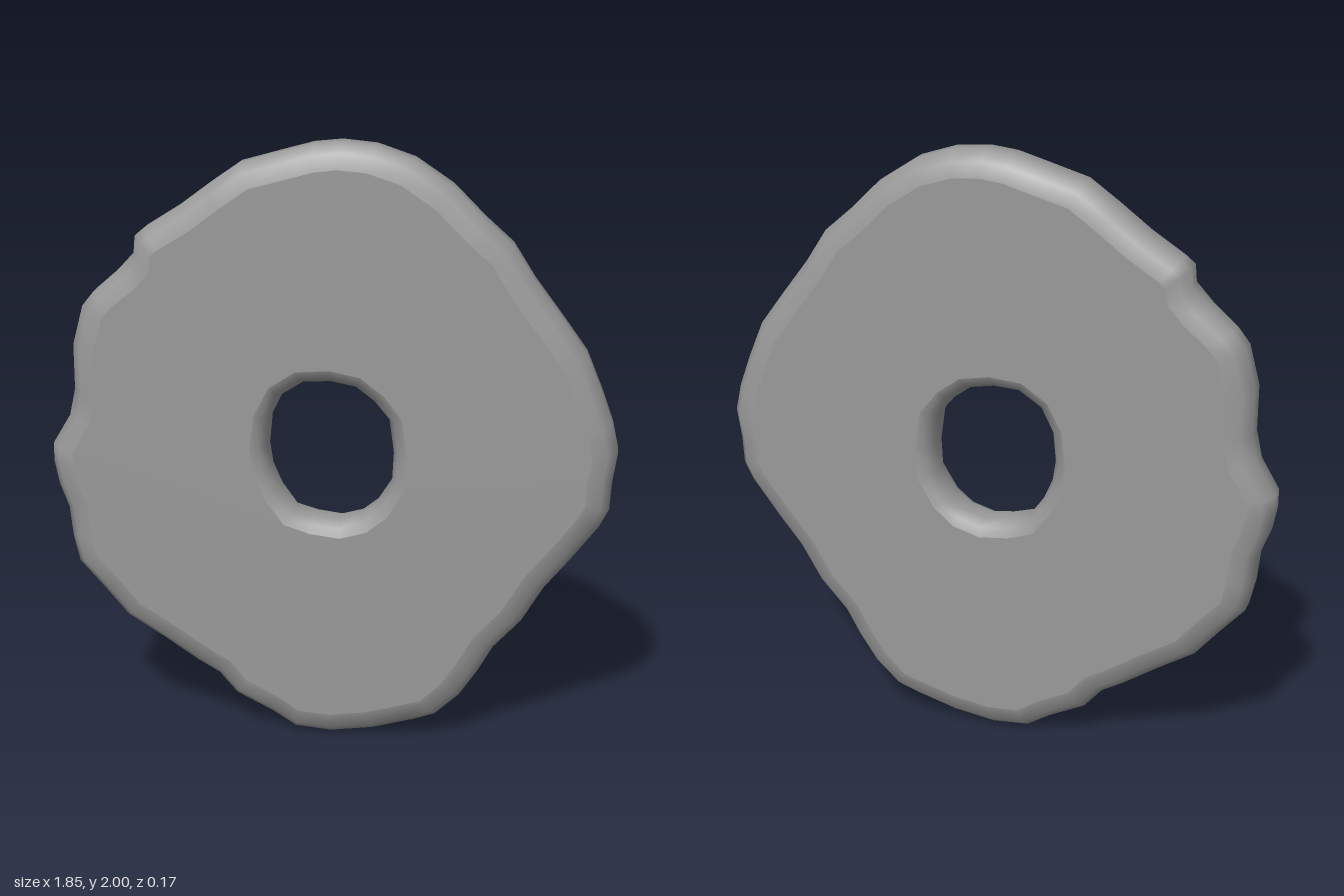
import * as THREE from 'three';

const toPoints = (flat) => {
  const pts = [];
  for (let i = 0; i < flat.length; i += 2) pts.push(new THREE.Vector2(flat[i], flat[i + 1]));
  return pts;
};

// irregular outer rim, clockwise from the top, reversed to run counterclockwise
const OUTER = toPoints([
  0.03, 2, 0.14, 1.99, 0.26, 1.95, 0.38, 1.87, 0.48, 1.77, 0.57, 1.69, 0.64, 1.58, 0.73, 1.46,
  0.81, 1.35, 0.86, 1.23, 0.9, 1.12, 0.92, 1.03, 0.905, 0.93, 0.9, 0.84, 0.87, 0.78, 0.78, 0.66,
  0.7, 0.56, 0.63, 0.44, 0.54, 0.34, 0.49, 0.25, 0.43, 0.16, 0.35, 0.085, 0.28, 0.06, 0.14, 0.02,
  0, 0, -0.12, 0.01, -0.2, 0.06, -0.32, 0.12, -0.38, 0.19, -0.45, 0.23, -0.57, 0.31, -0.69, 0.385,
  -0.77, 0.48, -0.85, 0.57, -0.87, 0.66, -0.88, 0.76, -0.91, 0.84, -0.925, 0.92, -0.925, 0.98,
  -0.865, 1.08, -0.845, 1.17, -0.845, 1.32, -0.81, 1.45, -0.77, 1.5, -0.69, 1.57, -0.635, 1.63,
  -0.63, 1.685, -0.6, 1.71, -0.49, 1.78, -0.39, 1.855, -0.29, 1.925, -0.15, 1.965, -0.06, 1.99,
]).reverse();

// centre hole, clockwise
const HOLE = toPoints([
  0, 1.23, 0.08, 1.215, 0.14, 1.17, 0.19, 1.11, 0.205, 1, 0.2, 0.9, 0.15, 0.82, 0.1, 0.78,
  0.03, 0.76, -0.05, 0.77, -0.12, 0.79, -0.17, 0.86, -0.2, 0.93, -0.21, 1, -0.2, 1.1,
  -0.16, 1.18, -0.09, 1.225,
]);

// rounded edge section, front to back: [inset, z]
const SECTION = [[0.08, 0.083], [0.03, 0.07], [0, 0.03], [0, -0.03], [0.03, -0.07], [0.08, -0.083]];

// move an outline into the material, using a tangent averaged over near neighbours
function inset(pts, d) {
  const n = pts.length;
  return pts.map((p, i) => {
    const t = new THREE.Vector2();
    for (const k of [1, 2, 3]) t.add(pts[(i + k) % n]).sub(pts[(i - k + n) % n]);
    t.normalize();
    return new THREE.Vector2(p.x - t.y * d, p.y + t.x * d);
  });
}

// smooth rounded wall swept round an outline
function wall(pts, scale) {
  const n = pts.length, pos = [], idx = [];
  for (const [d, z] of SECTION) for (const p of inset(pts, d * scale)) pos.push(p.x, p.y, z);
  for (let k = 0; k < SECTION.length - 1; k++) {
    for (let i = 0; i < n; i++) {
      const j = (i + 1) % n, a = k * n + i, b = k * n + j;
      idx.push(a, a + n, b, b, a + n, b + n);
    }
  }
  const g = new THREE.BufferGeometry();
  g.setAttribute('position', new THREE.Float32BufferAttribute(pos, 3));
  g.setIndex(idx);
  g.computeVertexNormals();
  return g;
}

export function createModel() {
  const group = new THREE.Group();
  const material = new THREE.MeshStandardMaterial({ color: 0x999999 });
  const add = (name, geometry) => {
    const mesh = new THREE.Mesh(geometry, material);
    mesh.name = name;
    group.add(mesh);
  };
  const holeScale = 0.6;

  add('outerRim', wall(OUTER, 1));
  add('holeRim', wall(HOLE, holeScale));

  // flat faces with the hole cut through
  const shape = new THREE.Shape(inset(OUTER, SECTION[0][0]));
  shape.holes.push(new THREE.Path(inset(HOLE, SECTION[0][0] * holeScale)));
  const front = new THREE.ShapeGeometry(shape);
  front.translate(0, 0, SECTION[0][1]);
  add('frontFace', front);

  // back face: mirrored in z with the triangle order flipped
  const back = front.clone().translate(0, 0, -2 * SECTION[0][1]);
  back.setIndex(Array.from(front.index.array).reverse());
  back.computeVertexNormals();
  add('backFace', back);

  return group;
}
